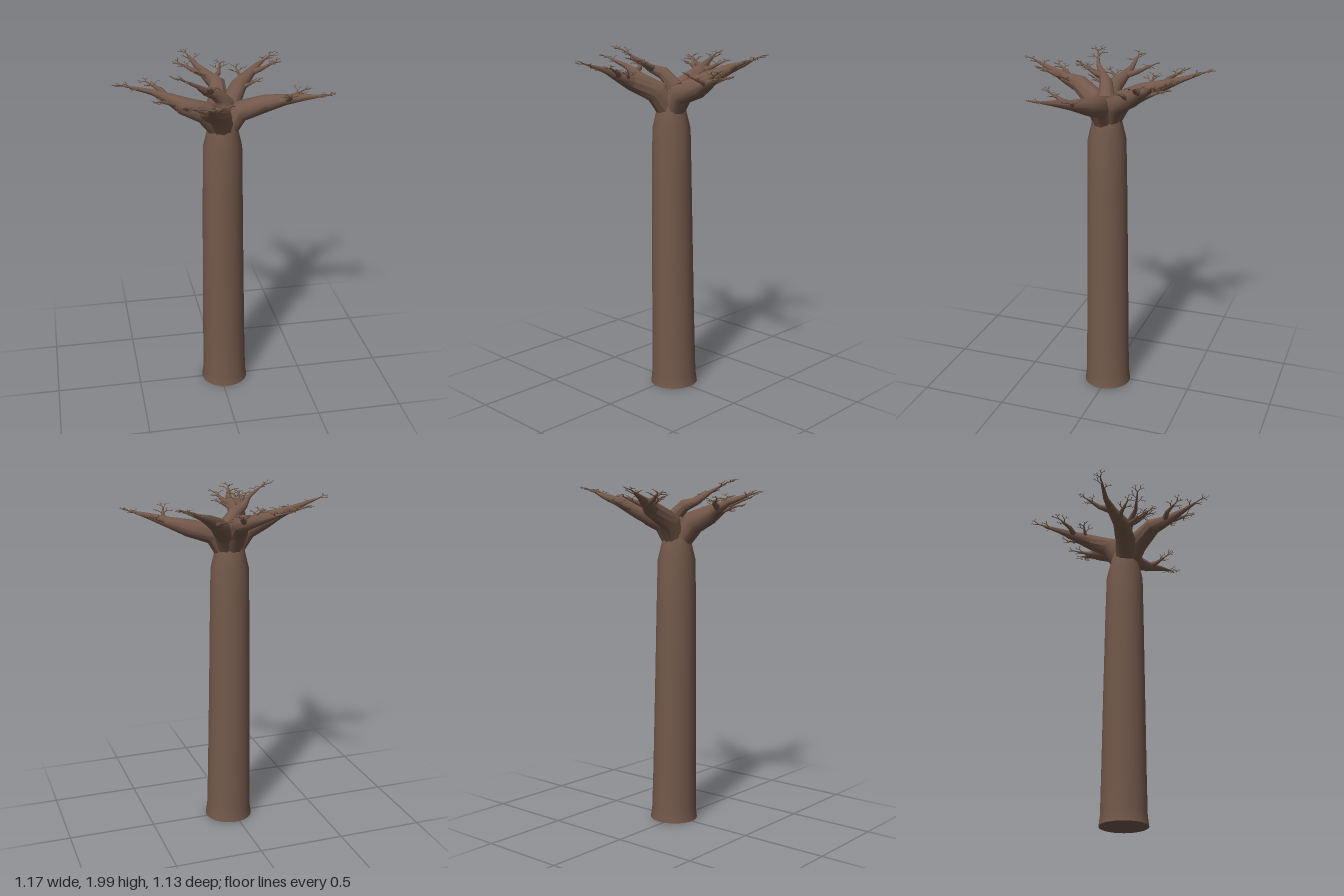
import * as THREE from 'three';
import { mergeGeometries, toCreasedNormals } from 'three/addons/utils/BufferGeometryUtils.js';

const UP = new THREE.Vector3(0, 1, 0);

// Tapered tube through a list of points with one radius for each point
function loft(pts, radii, sides) {
  const n = pts.length, pos = [], idx = [];
  const run = pts[n - 1].clone().sub(pts[0]).normalize();
  const ref = Math.hypot(run.x, run.z) > 0.1 ? run.clone().cross(UP).normalize() : new THREE.Vector3(1, 0, 0);
  pts.forEach((p, i) => {
    const t = pts[Math.min(i + 1, n - 1)].clone().sub(pts[Math.max(i - 1, 0)]).normalize();
    const u = ref.clone().addScaledVector(t, -ref.dot(t)).normalize();
    const v = t.clone().cross(u);
    for (let j = 0; j < sides; j++) {
      const a = (j / sides) * Math.PI * 2;
      const q = p.clone().addScaledVector(u, radii[i] * Math.cos(a)).addScaledVector(v, radii[i] * Math.sin(a));
      pos.push(q.x, q.y, q.z);
      if (i < n - 1) {
        const k = (j + 1) % sides, A = i * sides + j, B = i * sides + k;
        idx.push(A, B, A + sides, B, B + sides, A + sides);
      }
    }
  });
  const g = new THREE.BufferGeometry();
  g.setAttribute('position', new THREE.Float32BufferAttribute(pos, 3));
  g.setIndex(idx);
  g.computeVertexNormals();
  return g;
}

export function createModel() {
  const group = new THREE.Group();
  const bark = new THREE.MeshStandardMaterial({ color: 0x73584a });
  bark.name = 'bark brown';
  const add = (name, geometry) => {
    const mesh = new THREE.Mesh(geometry, bark);
    mesh.name = name;
    group.add(mesh);
  };

  let seed = 11;
  const rand = () => (seed = (seed * 16807) % 2147483647) / 2147483647;
  const twigs = [], branches = [];

  // Forking twigs, spreading mostly sideways
  function fork(p, dir, len, r, depth) {
    const end = p.clone().addScaledVector(dir, len);
    end.y = Math.min(end.y, 1.995);
    twigs.push(loft([p, end], [r, r * (depth ? 0.65 : 0.3)], 4));
    if (!depth) return;
    for (const s of [-1, 1]) {
      const d = dir.clone().applyAxisAngle(UP, s * (0.4 + rand() * 0.45));
      d.y = 0.22 + (rand() - 0.5) * 0.8;
      fork(end, d.normalize(), len * (0.6 + rand() * 0.25), r * 0.65, depth - 1);
    }
  }

  // Twigs at the tip of a path and on both sides of its last stretch
  function crown(path, len) {
    const [a, b] = path.slice(-2);
    const dir = b.clone().sub(a).normalize();
    fork(b, dir, len, 0.006, 3);
    for (const s of [-1, 1]) {
      const d = dir.clone().applyAxisAngle(UP, s * (0.7 + rand() * 0.4));
      fork(a.clone().lerp(b, 0.4 + rand() * 0.5), d, 0.03, 0.004, 2);
    }
  }

  // A limb through x, y, z triples; each side branch is [place along limb, end x, end z]
  function limb(name, coords, thickness, offshoots) {
    const path = [new THREE.Vector3(0.02, 1.6, 0.012)];
    for (let i = 0; i < coords.length; i += 3) path.push(new THREE.Vector3().fromArray(coords, i));
    const radii = [0.06, 0.063, 0.048, 0.03, 0.016, 0.007].map((r) => r * thickness);
    add(name, toCreasedNormals(loft(path, radii, 10), 0.66));
    crown(path, 0.036);
    for (const [place, x, z] of offshoots) {
      const i = Math.floor(place);
      const start = path[i].clone().lerp(path[i + 1], place - i);
      const end = new THREE.Vector3(x, start.y + 0.045, z);
      const bend = end.clone().sub(start).cross(UP).multiplyScalar(0.12 * (rand() < 0.5 ? -1 : 1));
      const mid = start.clone().lerp(end, 0.5).add(bend);
      const r = Math.min(0.024, radii[i] * 0.75);
      branches.push(loft([start, mid, end], [r, r * 0.6, 0.006], 6));
      crown([start, mid, end], 0.027);
    }
  }

  // Trunk with a flared foot, a slight lean and a narrowing neck
  const heights = [0, 0.06, 0.3, 0.8, 1.25, 1.53, 1.63, 1.72, 1.78, 1.785];
  const girth = [0.138, 0.13, 0.126, 0.12, 0.114, 0.109, 0.085, 0.075, 0.03, 0];
  const core = heights.map((y) => new THREE.Vector3(0.013 + 0.014 * (1 - y / 1.8) ** 2, y, 0.006 * y));
  add('trunk', loft(core, girth, 28));
  add('trunkFoot', new THREE.CircleGeometry(0.138, 28).rotateX(Math.PI / 2).translate(0.027, 0, 0));

  // Limbs spreading from the neck
  limb('backLimb', [0, 1.75, -0.07, 0.02, 1.82, -0.2, -0.03, 1.85, -0.3, -0.07, 1.88, -0.39, -0.1, 1.91, -0.48], 1,
    [[3, -0.15, -0.35], [2.4, 0.06, -0.35], [2.2, -0.06, -0.23]]);
  limb('backLeftLimb', [0.06, 1.74, -0.05, 0.14, 1.81, -0.18, 0.22, 1.86, -0.25, 0.28, 1.89, -0.31, 0.32, 1.91, -0.33], 0.95,
    [[2, 0.16, -0.33], [3, 0.34, -0.25], [1.7, 0.21, -0.14]]);
  limb('leftLimb', [0.1, 1.73, 0.025, 0.25, 1.77, 0.035, 0.35, 1.8, 0.08, 0.45, 1.83, 0.15, 0.51, 1.845, 0.19], 1,
    [[2.5, 0.43, 0.06], [3, 0.345, 0.19]]);
  limb('frontLimb', [-0.02, 1.74, 0.09, -0.1, 1.8, 0.21, -0.1, 1.83, 0.3, -0.11, 1.87, 0.39, -0.14, 1.9, 0.48], 1.05,
    [[2.8, -0.2, 0.365], [3.1, -0.045, 0.4], [2, -0.04, 0.29]]);
  limb('rightLimb', [-0.09, 1.74, 0.04, -0.21, 1.785, 0.04, -0.28, 1.82, 0.01, -0.37, 1.855, -0.01, -0.49, 1.89, -0.005], 1,
    [[3.1, -0.37, -0.12], [2, -0.33, 0.1], [1.4, -0.22, 0.15]]);
  limb('topLimb', [0.03, 1.78, 0.01, -0.03, 1.84, 0.03, -0.09, 1.865, 0.07, -0.14, 1.91, 0.115, -0.21, 1.95, 0.14], 0.75,
    [[3, -0.1, 0.18], [2.8, -0.07, 0.16]]);

  add('sideBranches', mergeGeometries(branches));
  add('twigs', mergeGeometries(twigs));
  return group;
}
